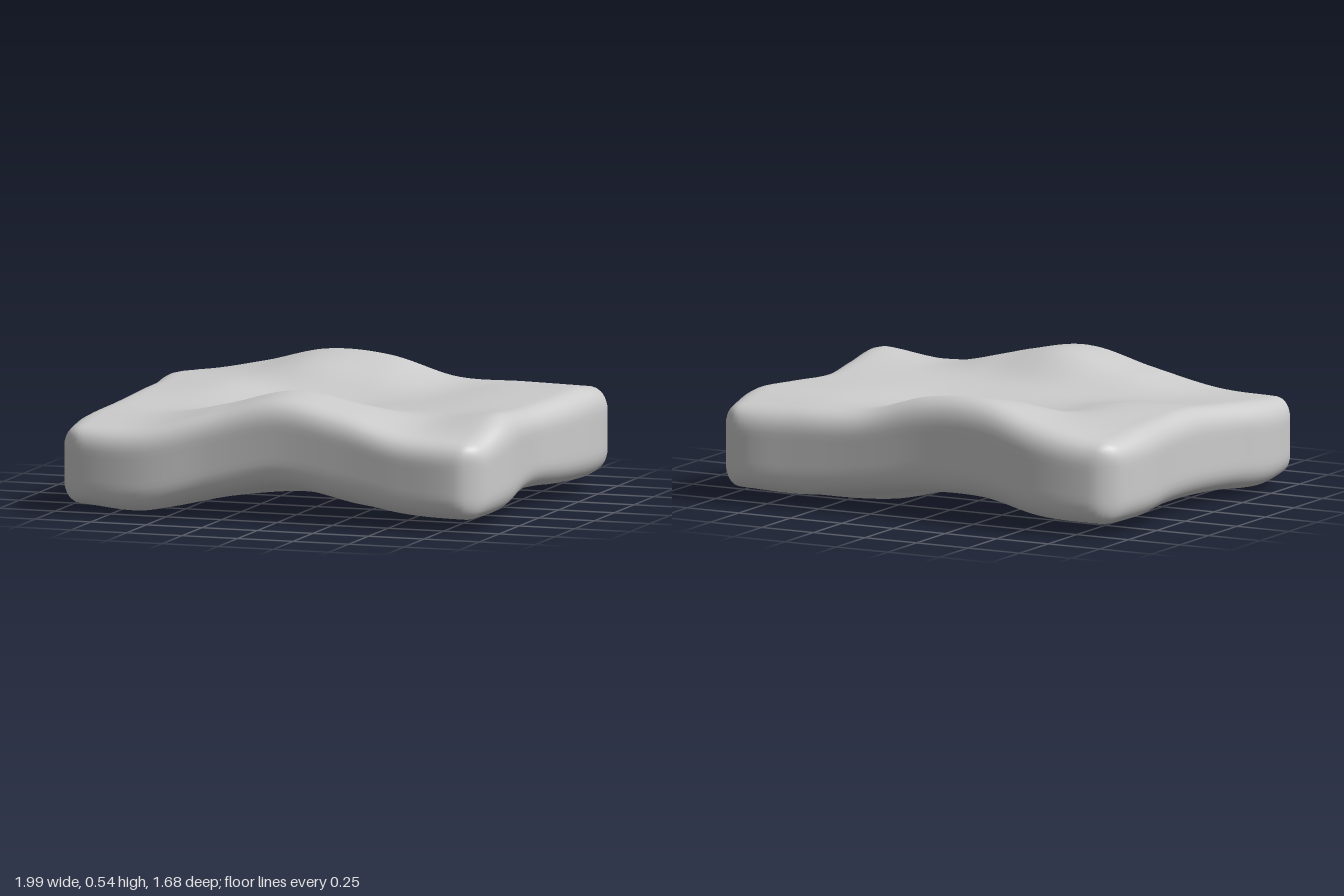
import * as THREE from 'three';
import { mergeVertices } from 'three/addons/utils/BufferGeometryUtils.js';

// Heights of the upper and lower faces: rows run back to front, columns from -x to +x
const TOP = [
  [0.41, 0.46, 0.53, 0.52, 0.44, 0.43, 0.42],
  [0.43, 0.45, 0.49, 0.46, 0.42, 0.44, 0.45],
  [0.43, 0.435, 0.40, 0.38, 0.40, 0.43, 0.44],
  [0.43, 0.43, 0.395, 0.39, 0.40, 0.42, 0.43],
  [0.41, 0.40, 0.40, 0.42, 0.425, 0.43, 0.45],
  [0.39, 0.40, 0.46, 0.525, 0.48, 0.43, 0.465],
  [0.37, 0.38, 0.45, 0.52, 0.475, 0.40, 0.385],
];
const BOTTOM = [
  [0.05, 0.06, 0.11, 0.11, 0.08, 0.05, 0.06],
  [0.05, 0.05, 0.08, 0.08, 0.015, 0.01, 0.06],
  [0.055, 0.04, 0.05, 0.06, 0.005, 0.01, 0.07],
  [0.05, 0.04, 0.045, 0.055, 0.005, 0.01, 0.09],
  [0.04, 0.03, 0.045, 0.06, 0.02, 0.03, 0.09],
  [0.02, 0.005, 0.06, 0.10, 0.05, 0.03, 0.06],
  [0.035, 0.02, 0.09, 0.145, 0.105, 0.06, 0.05],
];

// Wavy outline: reach of each side along its length
const RIGHT_EDGE = [0.985, 1.0, 0.975, 0.935, 0.955, 0.98, 0.96];
const LEFT_EDGE = [0.97, 0.975, 0.94, 0.93, 0.955, 0.99, 0.985];
const BACK_EDGE = [0.84, 0.845, 0.81, 0.79, 0.80, 0.825, 0.86];
const FRONT_EDGE = [0.83, 0.83, 0.785, 0.77, 0.785, 0.815, 0.84];

// Smooth curve through evenly spaced values, t from -1 to 1
function sample(values, t) {
  const n = values.length - 1;
  const s = THREE.MathUtils.clamp((t + 1) / 2, 0, 1) * n;
  const i = Math.min(Math.floor(s), n - 1);
  const f = s - i;
  const at = (k) => values[THREE.MathUtils.clamp(k, 0, n)];
  const [a, b, c, d] = [at(i - 1), at(i), at(i + 1), at(i + 2)];
  return b + 0.5 * f * (c - a + f * (2 * a - 5 * b + 4 * c - d + f * (3 * (b - c) + d - a)));
}

const sampleGrid = (grid, u, v) => sample(grid.map((row) => sample(row, u)), v);

function slabGeometry() {
  const half = new THREE.Vector3(1, 0.18, 0.84);
  const radius = 0.1;
  const box = new THREE.BoxGeometry(half.x * 2, half.y * 2, half.z * 2, 64, 14, 54);
  box.deleteAttribute('normal');
  box.deleteAttribute('uv');
  const geometry = mergeVertices(box);
  const inner = half.clone().subScalar(radius);
  const outer = inner.clone().negate();
  const pos = geometry.attributes.position;
  const p = new THREE.Vector3();
  const core = new THREE.Vector3();

  for (let i = 0; i < pos.count; i++) {
    // round the edges and corners
    p.fromBufferAttribute(pos, i);
    core.copy(p).clamp(outer, inner);
    p.sub(core);
    if (p.lengthSq() > 0) p.setLength(radius);
    p.add(core);

    // bend the slab between the two height fields
    const u = p.x / 0.9;
    const v = p.z / 0.75;
    const low = sampleGrid(BOTTOM, u, v);
    const high = sampleGrid(TOP, u, v);
    const y = THREE.MathUtils.lerp(low, high, (p.y + half.y) / (2 * half.y));

    // pull the sides to the wavy outline and blunt the four corners
    const blunt = 1 - 0.06 * Math.pow(Math.abs(p.x * p.z) / half.z, 8);
    const x = p.x * blunt * sample(p.x > 0 ? RIGHT_EDGE : LEFT_EDGE, v);
    const z = (p.z / half.z) * blunt * sample(p.z > 0 ? FRONT_EDGE : BACK_EDGE, u);
    pos.setXYZ(i, x, y, z);
  }

  // stand it on the ground, centred
  geometry.computeBoundingBox();
  const { min, max } = geometry.boundingBox;
  geometry.translate(-(min.x + max.x) / 2, -min.y, -(min.z + max.z) / 2);
  geometry.computeVertexNormals();
  return geometry;
}

export function createModel() {
  const group = new THREE.Group();
  group.name = 'stoneSlab';
  const material = new THREE.MeshStandardMaterial({ color: 0xcccccc });
  const slab = new THREE.Mesh(slabGeometry(), material);
  slab.name = 'slab';
  group.add(slab);
  return group;
}
